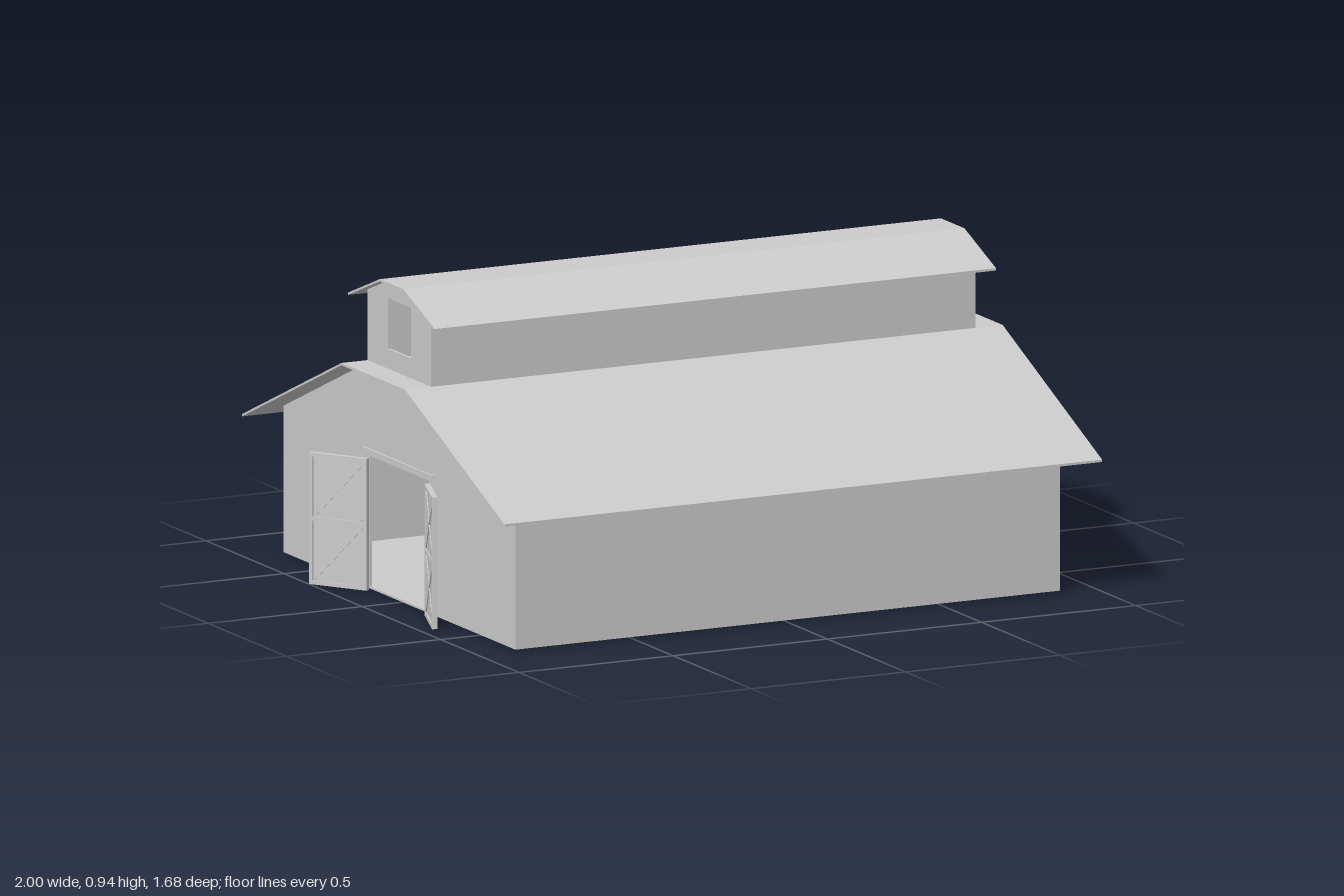
import * as THREE from 'three';

const material = new THREE.MeshStandardMaterial({ color: 0xcccccc, flatShading: true, side: THREE.DoubleSide });

function add(parent, name, geometry, x = 0, y = 0, z = 0) {
  const mesh = new THREE.Mesh(geometry, material);
  mesh.name = name;
  mesh.position.set(x, y, z);
  parent.add(mesh);
  return mesh;
}

const box = (w, h, d) => new THREE.BoxGeometry(w, h, d);
const points = list => list.map(([z, y]) => new THREE.Vector2(z, y));

// Extrudes a symmetric (z, y) outline along x, from x0 to x1
function extrudeAlongX(outline, x0, x1, hole) {
  const shape = new THREE.Shape(points(outline));
  if (hole) shape.holes.push(new THREE.Path(points(hole)));
  const geometry = new THREE.ExtrudeGeometry(shape, { depth: x1 - x0, bevelEnabled: false });
  return geometry.rotateY(Math.PI / 2).translate(x0, 0, 0);
}

// Thin three-plane roof, given half of its upper profile
function roof([topZ, topY], [eaveZ, eaveY], x0, x1, t = 0.007) {
  const upper = [[-eaveZ, eaveY], [-topZ, topY], [topZ, topY], [eaveZ, eaveY]];
  const lower = upper.map(([z, y]) => [z, y - t]).reverse();
  return extrudeAlongX([...upper, ...lower], x0, x1);
}

// Door leaf with its hinge at the local origin, reaching along +x
function door(name) {
  const W = 0.19, H = 0.39, T = 0.008, B = 0.012, F = 0.016;
  const leaf = new THREE.Group();
  leaf.name = name;
  add(leaf, 'doorPanel', box(W, H, T), W / 2, H / 2);
  // Frame stiles and rails, proud on both faces
  for (const x of [B / 2, W - B / 2]) add(leaf, 'doorStile', box(B, H, F), x, H / 2);
  for (const y of [B / 2, H / 2, H - B / 2]) add(leaf, 'doorRail', box(W - 2 * B, B, F), W / 2, y);
  // Crossed braces in the upper and lower half
  const bw = W - 2 * B, bh = H / 2 - 1.5 * B;
  for (const y of [H * 0.26, H * 0.74]) {
    for (const s of [-1, 1]) {
      const brace = add(leaf, 'doorBrace', box(Math.hypot(bw, bh) - 0.012, 0.009, 0.013 + s * 0.0005), W / 2, y);
      brace.rotation.z = s * Math.atan2(bh, bw);
    }
  }
  return leaf;
}

export function createModel() {
  const barn = new THREE.Group();
  barn.name = 'barn';
  const X0 = -0.88, X1 = 0.885, length = X1 - X0, midX = (X0 + X1) / 2, T = 0.008;

  // Floor and long side walls
  add(barn, 'floor', box(length, 0.006, 1.48), midX, 0.011, 0);
  for (const s of [-1, 1]) {
    add(barn, 'sideWall', box(length, 0.43, T), midX, 0.223, s * (0.741 - T / 2));
    add(barn, 'loftSideWall', box(length, 0.215, T), midX, 0.7825, s * (0.203 - T / 2));
  }

  // Gable ends with doorway, and loft ends with a window
  const gable = [[-0.741, 0.008], [-0.19, 0.008], [-0.19, 0.4], [0.19, 0.4], [0.19, 0.008],
    [0.741, 0.008], [0.741, 0.441], [0.203, 0.674], [-0.203, 0.674], [-0.741, 0.441]];
  const loftEnd = [[-0.203, 0.672], [0.203, 0.672], [0.203, 0.891], [0.075, 0.941], [-0.075, 0.941], [-0.203, 0.891]];
  const windowHole = [[-0.073, 0.74], [-0.073, 0.89], [0.073, 0.89], [0.073, 0.74]];
  for (const x of [X0, X1 - T]) {
    add(barn, 'gableWall', extrudeAlongX(gable, x, x + T));
    add(barn, 'loftEndWall', extrudeAlongX(loftEnd, x, x + T, windowHole));
  }

  // Roofs
  add(barn, 'mainRoof', roof([0.203, 0.681], [0.838, 0.406], -0.965, 0.973));
  add(barn, 'loftRoof', roof([0.075, 0.948], [0.277, 0.869], -0.906, 0.914));

  // Lintel rails above the doorways
  for (const x of [X0, X1]) add(barn, 'doorLintel', box(0.012, 0.007, 0.445), x, 0.418, 0);

  // Doors standing open: name, hinge x, hinge z, swing in x, swing in z
  const doors = [
    ['leftFrontDoor', 0.892, 0.19, 0.1, 0.165],
    ['leftBackDoor', 0.892, -0.19, 0.09, -0.17],
    ['rightFrontDoor', -0.886, 0.19, -0.065, 0.175],
    ['rightBackDoor', -0.886, -0.19, -0.108, -0.16],
  ];
  for (const [name, x, z, dx, dz] of doors) {
    const leaf = door(name);
    leaf.position.set(x, 0.003, z);
    leaf.rotation.y = Math.atan2(-dz, dx);
    barn.add(leaf);
  }
  return barn;
}
